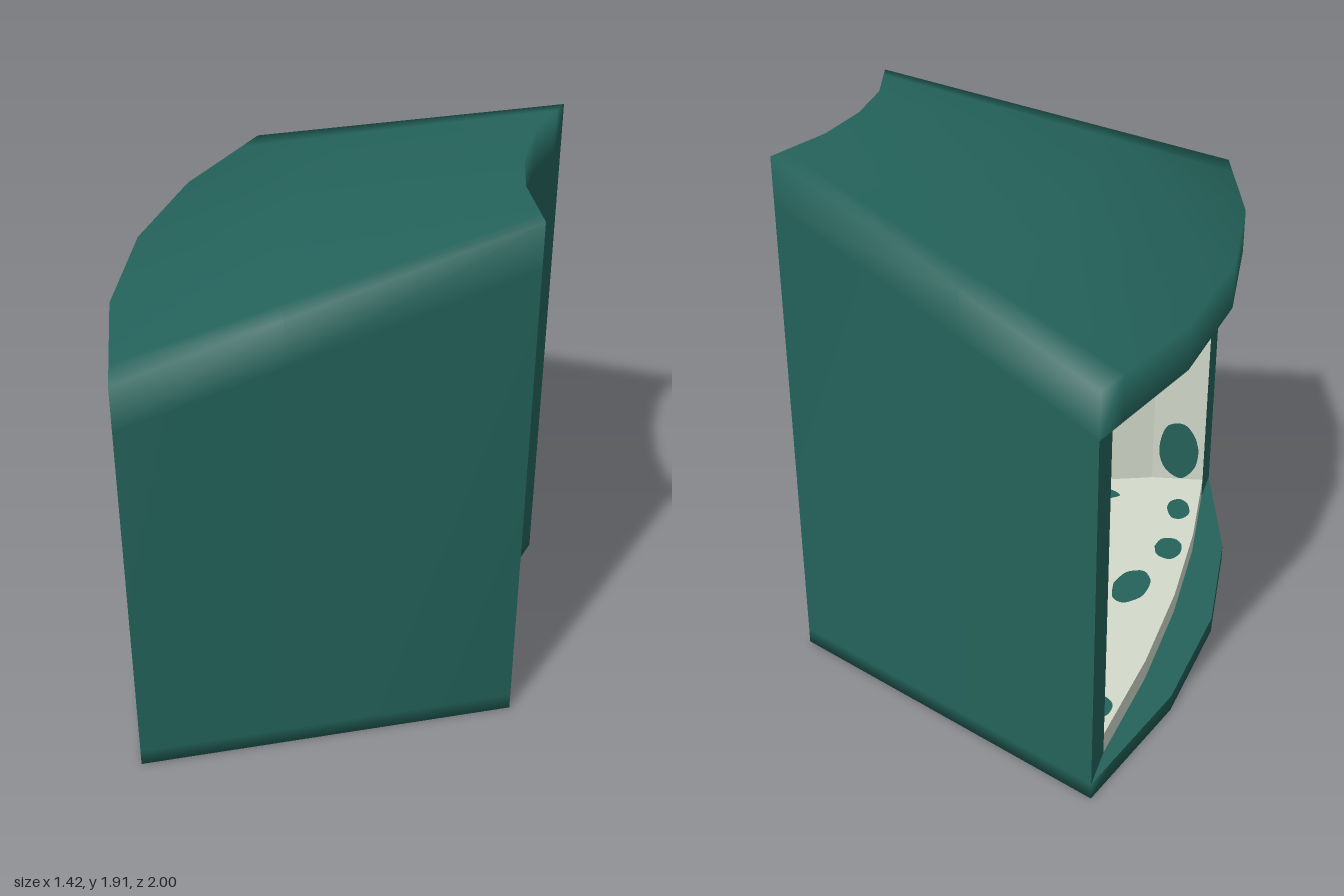
import * as THREE from 'three';
import { mergeVertices } from 'three/addons/utils/BufferGeometryUtils.js';

const mat = (name, color) => {
  const m = new THREE.MeshStandardMaterial({ color, side: THREE.DoubleSide });
  m.name = name;
  return m;
};

// half arc (centre to +z end) mirrored into a full arc, z ascending, with an extra point near each end
const arc = (half) => {
  const [c, m, e] = half;
  const n = [e[0] + (m[0] - e[0]) * 0.25, e[1] + (m[1] - e[1]) * 0.25];
  const side = [m, n, e];
  return [...side.map(([x, z]) => [x, -z]).reverse(), c, ...side];
};

// triangle soup from quads
const quadsToGeometry = (quads, smooth) => {
  const pos = [];
  for (const [a, b, c, d] of quads) pos.push(...a, ...b, ...c, ...a, ...c, ...d);
  let g = new THREE.BufferGeometry();
  g.setAttribute('position', new THREE.Float32BufferAttribute(pos, 3));
  if (smooth) g = mergeVertices(g, 1e-4);
  g.computeVertexNormals();
  return g;
};

const at = ([x, z], y) => [x, y, z];
const strip = (path, y0, y1) => path.slice(1).map((q, k) => {
  const p = path[k];
  return [at(p, y0), at(q, y0), at(q, y1), at(p, y1)];
});

export function createModel() {
  const group = new THREE.Group();
  const teal = mat('deep teal', 0x24635b);
  const cream = mat('pale cream', 0xd3dacb);
  const add = (name, geo, m, parent = group) => {
    const mesh = new THREE.Mesh(geo, m);
    mesh.name = name;
    parent.add(mesh);
    return mesh;
  };

  const SILL = 0.06, FLOOR = 0.14, LINTEL = 1.35, LOW = 1.51, HIGH = 1.91;
  const outer = arc([[-0.715, 0], [-0.665, 0.49], [-0.51, 1]]);
  const inner = arc([[0.61, 0], [0.632, 0.24], [0.71, 0.495]]);
  const rim = arc([[-0.57, 0], [-0.555, 0.42], [-0.51, 0.84]]);
  const n = outer.length;

  // Shell: wedge plan, roof rising from the open side to the closed side
  const mix = (j, t) => [0, 1].map((k) => outer[j][k] + (inner[j][k] - outer[j][k]) * t);
  const fracs = [0, 0.4, 1];
  const roofY = (t) => LOW + (HIGH - LOW) * t;
  const shell = [];
  for (let i = 0; i < fracs.length - 1; i++) {
    const t0 = fracs[i], t1 = fracs[i + 1];
    for (let j = 0; j < n - 1; j++) {
      const a = mix(j, t0), b = mix(j + 1, t0), c = mix(j + 1, t1), d = mix(j, t1);
      shell.push([at(a, roofY(t0)), at(b, roofY(t0)), at(c, roofY(t1)), at(d, roofY(t1))]);
      shell.push([at(d, 0), at(c, 0), at(b, 0), at(a, 0)]);
    }
  }
  // side walls and concave wall, in bands
  const around = [
    ...fracs.map((t) => [mix(n - 1, t), t]),
    ...inner.slice(1, -1).reverse().map((p) => [p, 1]),
    ...fracs.slice().reverse().map((t) => [mix(0, t), t]),
  ];
  const levels = [() => 0, () => SILL, (t) => roofY(t) - 0.16, roofY];
  for (let k = 0; k < around.length - 1; k++) {
    const [p, tp] = around[k], [q, tq] = around[k + 1];
    for (let l = 0; l < 3; l++) {
      const lo = levels[l], hi = levels[l + 1];
      shell.push([at(p, lo(tp)), at(q, lo(tq)), at(q, hi(tq)), at(p, hi(tp))]);
    }
  }
  // curved front edges of the base and the roof
  shell.push(...strip(outer, 0, SILL), ...strip(outer, LINTEL, LOW));
  add('outerShell', quadsToGeometry(shell, true), teal);

  // Frame of the opening: sill, lintel underside and posts
  const frame = [];
  for (let j = 0; j < n - 1; j++) {
    const [a, b, c, d] = [outer[j], outer[j + 1], rim[j + 1], rim[j]];
    frame.push([a, b, c, d].map((p) => at(p, SILL)));
    frame.push([d, c, b, a].map((p) => at(p, LINTEL)));
  }
  frame.push(...strip([[-0.51, -1], [-0.51, -0.84]], SILL, LINTEL));
  frame.push(...strip([[-0.51, 0.84], [-0.51, 1]], SILL, LINTEL));
  add('openingFrame', quadsToGeometry(frame, false), teal);

  // Room lining: floor with a low kerb, walls and ceiling
  const halfWall = [[-0.51, 0.84], [-0.3, 0.8], [0.25, 0.575], [0.5, 0.3]];
  const walls = [...halfWall, [0.48, 0], ...halfWall.map(([x, z]) => [x, -z]).reverse()];
  const plan = new THREE.Shape([...rim, ...walls.slice(1, -1)].map(([x, z]) => new THREE.Vector2(x, -z)));
  add('roomFloor', new THREE.ShapeGeometry(plan).rotateX(-Math.PI / 2), cream).position.y = FLOOR;
  add('roomCeiling', new THREE.ShapeGeometry(plan).rotateX(Math.PI / 2), cream).position.y = LINTEL - 0.003;
  add('floorKerb', quadsToGeometry(strip(rim, SILL, FLOOR), false), cream);
  add('roomWalls', quadsToGeometry(strip(walls.slice().reverse(), FLOOR, LINTEL), false), cream);

  // Irregular painted spots
  let seed = 7;
  const rand = () => (seed = (seed * 16807) % 2147483647) / 2147483647;
  const blob = (rx, ry) => {
    const pts = [], ph = rand() * 6.28, amp = 0.08 + rand() * 0.1;
    for (let k = 0; k < 9; k++) {
      const a = (k / 9) * Math.PI * 2, r = 1 + amp * Math.sin(2 * a + ph) + 0.08 * (rand() - 0.5);
      pts.push(new THREE.Vector2(Math.cos(a) * rx * r, Math.sin(a) * ry * r));
    }
    const s = new THREE.Shape();
    s.moveTo(pts[0].x, pts[0].y);
    s.splineThru([...pts.slice(1), pts[0]]);
    return new THREE.ShapeGeometry(s, 4);
  };
  const spots = new THREE.Group();
  spots.name = 'spots';
  group.add(spots);

  // floor spots: x, z, radii
  for (const [x, z, rx, rz] of [
    [0.07, 0.38, 0.04, 0.08], [0.03, 0.25, 0.03, 0.06], [-0.4, 0, 0.06, 0.12], [-0.48, 0.29, 0.05, 0.08],
    [-0.46, 0.58, 0.05, 0.07], [-0.45, -0.72, 0.05, 0.07], [-0.1, -0.45, 0.09, 0.07], [0.2, -0.2, 0.07, 0.1],
    [0.33, 0.1, 0.05, 0.06], [-0.08, 0.6, 0.13, 0.05],
  ]) {
    add('floorSpot', blob(rx, rz).rotateX(-Math.PI / 2), teal, spots).position.set(x, FLOOR + 0.004, z);
  }

  // wall spots: panel index, fraction along it, height, radii
  const wallSpots = [
    [0, 0.5, 0.28, 0.09, 0.12], [1, 0.77, 0.46, 0.115, 0.14], [1, 0.3, 0.6, 0.04, 0.04],
    [1, 0.9, 0.68, 0.04, 0.04], [1, 0.73, 0.78, 0.08, 0.04], [1, 0.2, 1.05, 0.09, 0.07],
    [1, 0.55, 1.12, 0.06, 0.09], [2, 0.14, 0.43, 0.04, 0.09], [2, 0.4, 0.22, 0.1, 0.06],
    [2, 0.55, 0.44, 0.05, 0.09], [2, 0.45, 0.63, 0.1, 0.06], [2, 0.5, 1.05, 0.08, 0.1],
    [3, 0.5, 0.8, 0.09, 0.11], [3, 0.3, 0.4, 0.06, 0.08], [3, 0.7, 1.15, 0.07, 0.06],
  ];
  for (const side of [1, -1]) {
    for (const [k, f, y, rx, ry] of wallSpots) {
      const [x0, z0] = walls[k], [x1, z1] = walls[k + 1];
      const dx = x1 - x0, dz = (z1 - z0) * side, len = Math.hypot(dx, dz);
      // unit normal pointing into the room
      const nx = (dz * side) / len, nz = (-dx * side) / len;
      const m = add('wallSpot', blob(rx, ry), teal, spots);
      m.position.set(x0 + dx * f + nx * 0.004, y, z0 * side + dz * f + nz * 0.004);
      m.rotation.y = Math.atan2(nx, nz);
    }
  }
  return group;
}
